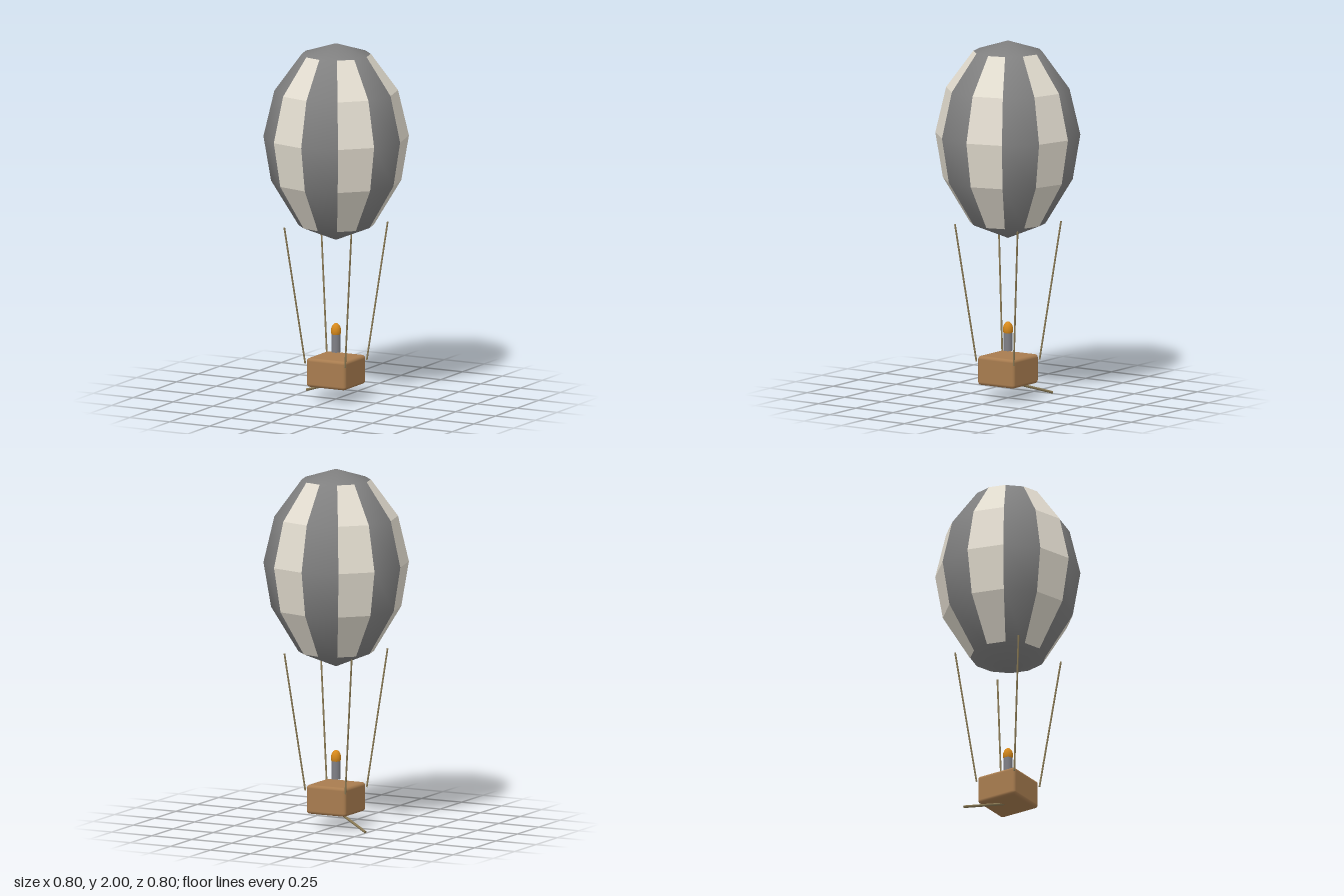
import * as THREE from 'three';
import { RoundedBoxGeometry } from 'three/addons/geometries/RoundedBoxGeometry.js';

const paint = (name, color) => {
  const m = new THREE.MeshStandardMaterial({ color });
  m.name = name;
  return m;
};

export function createModel() {
  const group = new THREE.Group();
  group.name = 'hotAirBalloon';
  const grey = paint('envelopeGrey', 0x808080);
  const cream = paint('stripeCream', 0xe2dccf);
  const wicker = paint('basketBrown', 0xa87c4f);
  const rope = paint('ropeTan', 0x8a7a55);
  const steel = paint('burnerGrey', 0x808086);
  const fire = paint('flameOrange', 0xd88a1c);

  const add = (name, geometry, material, x = 0, y = 0, z = 0) => {
    const mesh = new THREE.Mesh(geometry, material);
    mesh.name = name;
    mesh.position.set(x, y, z);
    group.add(mesh);
    return mesh;
  };

  // Straight cord between two points
  const cord = (name, a, b, radius) => {
    const from = new THREE.Vector3(...a), to = new THREE.Vector3(...b);
    const dir = to.clone().sub(from);
    const mesh = add(name, new THREE.CylinderGeometry(radius, radius, dir.length(), 8), rope);
    mesh.position.copy(from).add(to).multiplyScalar(0.5);
    mesh.quaternion.setFromUnitVectors(new THREE.Vector3(0, 1, 0), dir.normalize());
  };

  // Envelope: smooth twelve-sided body, profile from bottom to top as [radius, y]
  const profile = [[0, 0.895], [0.207, 0.98], [0.358, 1.23], [0.4, 1.48], [0.34, 1.735], [0.19, 1.94], [0, 2]];
  const points = (rows, grow) => rows.map(([r, y]) => new THREE.Vector2(r + grow, y));
  const body = new THREE.LatheGeometry(points(profile, 0), 12);
  const { position, normal } = body.attributes;
  for (let i = 0; i < position.count; i++) {
    if (Math.hypot(position.getX(i), position.getZ(i)) < 1e-6) {
      normal.setXYZ(i, 0, position.getY(i) > 1.5 ? 1 : -1, 0);
    }
  }
  add('envelope', body, grey);

  // Faceted stripes laid over every second gore
  for (let k = 0; k < 6; k++) {
    const stripe = new THREE.LatheGeometry(
      points(profile.slice(1, -1), 0.002), 1, Math.PI / 6 + k * Math.PI / 3, Math.PI / 6
    ).toNonIndexed();
    stripe.computeVertexNormals();
    add('stripe', stripe, cream);
  }

  // Basket with rounded edges
  add('basket', new RoundedBoxGeometry(0.246, 0.162, 0.246, 3, 0.018), wicker, 0, 0.159, 0);

  // Suspension ropes at the four corners
  for (const sx of [-1, 1]) {
    for (const sz of [-1, 1]) {
      cord('suspensionRope', [sx * 0.125, 0.21, sz * 0.125], [sx * 0.21, 0.98, sz * 0.21], 0.005);
    }
  }

  // Loose rope trailing below the basket
  cord('trailingRope', [-0.01, 0.088, -0.005], [-0.25, 0.0075, -0.125], 0.0075);

  // Burner and flame
  add('burner', new THREE.CylinderGeometry(0.025, 0.025, 0.1, 12), steel, 0, 0.315, 0);
  add('flame', new THREE.SphereGeometry(0.028, 12, 10).scale(1, 1.55, 1), fire, 0, 0.384, 0);

  return group;
}
